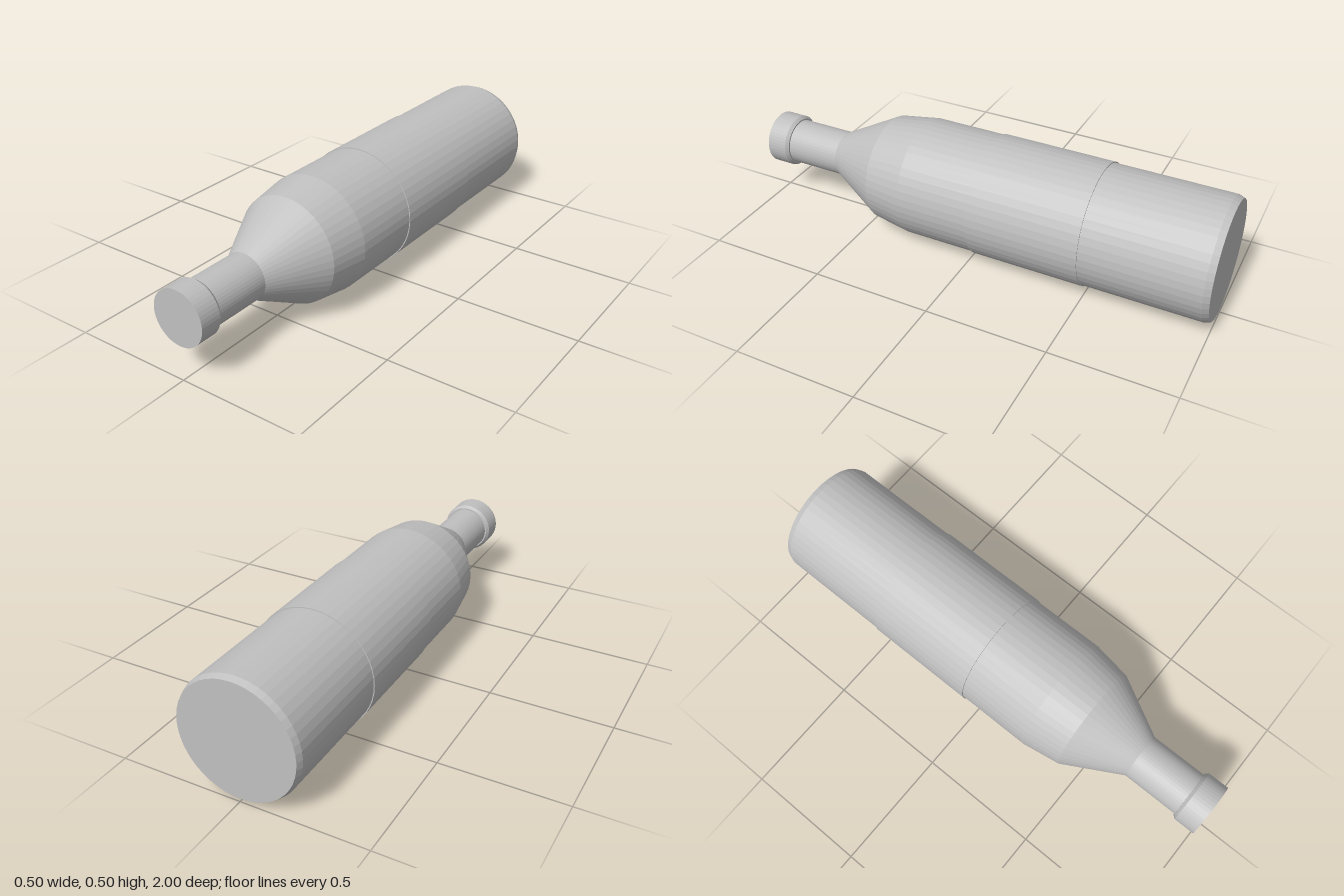
import * as THREE from 'three';

const SIDES = 48;
const AXIS_Y = 0.25;

export function createModel() {
  const group = new THREE.Group();
  group.name = 'bottle';
  const grey = new THREE.MeshStandardMaterial({ color: 0xc0c0c0, flatShading: true });
  grey.name = 'plain grey';

  // Turned part lying along z; profile is [radius, z] from back to front
  function turned(name, profile) {
    const points = profile.map(([r, z]) => new THREE.Vector2(r, z));
    const geometry = new THREE.LatheGeometry(points, SIDES);
    geometry.rotateX(Math.PI / 2);
    const mesh = new THREE.Mesh(geometry, grey);
    mesh.name = name;
    mesh.position.y = AXIS_Y;
    group.add(mesh);
  }

  // Body with bevelled base, sloping shoulder and straight neck
  turned('bottleBody', [
    [0, -1], [0.236, -1], [0.245, -0.975], [0.245, 0.27],
    [0.22, 0.43], [0.094, 0.665], [0.094, 0.91],
  ]);

  // Raised label band wrapped round the body
  turned('labelBand', [
    [0.244, -0.5], [0.249, -0.5], [0.249, -0.035], [0.244, -0.035],
  ]);

  // Cap with a bevelled rear rim
  turned('cap', [
    [0.09, 0.9], [0.1, 0.9], [0.11, 0.913], [0.11, 1], [0, 1],
  ]);

  return group;
}
